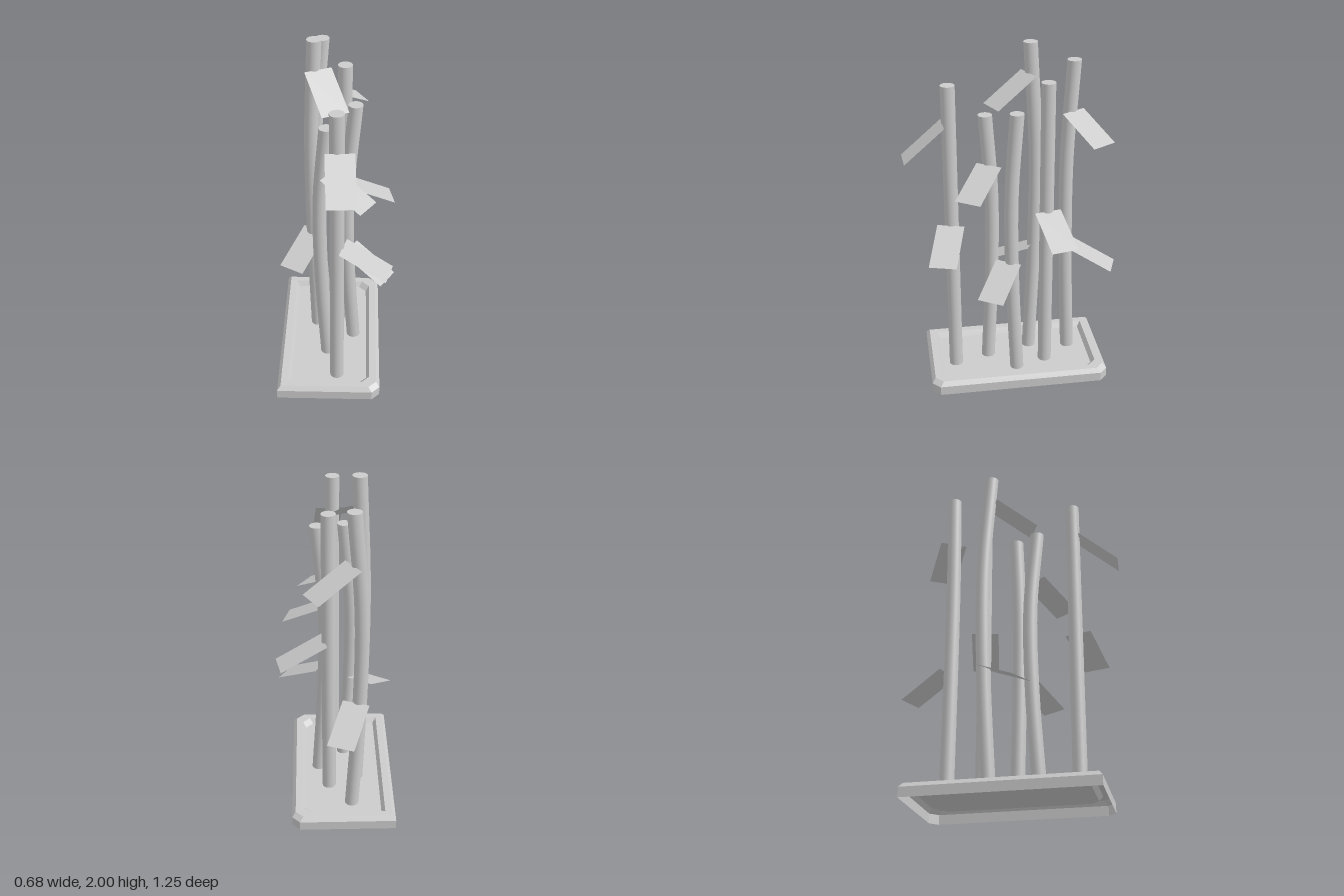
import * as THREE from 'three';

const matte = new THREE.MeshStandardMaterial({ color: 0xcccccc });
const faceted = new THREE.MeshStandardMaterial({ color: 0xcccccc, flatShading: true, side: THREE.DoubleSide });

function add(parent, name, geometry, material) {
  const mesh = new THREE.Mesh(geometry, material);
  mesh.name = name;
  parent.add(mesh);
  return mesh;
}

// Rectangle outline with the two +x corners cut off, inset by d
function trayRing(d, y) {
  const x0 = -0.34 + d, x1 = 0.26 - d, z0 = -0.53 + d, z1 = 0.52 - d, c = 0.045;
  return [[x0, z0], [x1 - c, z0], [x1, z0 + c], [x1, z1 - c], [x1 - c, z1], [x0, z1]]
    .map(([x, z]) => new THREE.Vector3(x, y, z));
}

// Open-bottomed tray: outer wall, bevel, rim, inner slope, sunken floor
function trayGeometry() {
  const rings = [[0, 0], [0, 0.055], [0.02, 0.08], [0.06, 0.08], [0.08, 0.05]].map(([d, y]) => trayRing(d, y));
  const pts = [];
  for (let r = 0; r < rings.length - 1; r++) {
    const a = rings[r], b = rings[r + 1];
    for (let i = 0; i < 6; i++) {
      const j = (i + 1) % 6;
      pts.push(a[i], b[j], a[j], a[i], b[i], b[j]);
    }
  }
  const floor = rings[rings.length - 1];
  for (let i = 1; i < 5; i++) pts.push(floor[0], floor[i + 1], floor[i]);
  const g = new THREE.BufferGeometry().setFromPoints(pts);
  g.computeVertexNormals();
  return g;
}

// Round stalk whose middle is pushed sideways by (dx, dz)
function stalkGeometry(x, z, top, dx, dz) {
  const base = 0.05;
  const curve = new THREE.CatmullRomCurve3([[0, 0], [0.36, 0.85], [0.68, 1], [1, 0]].map(([t, k]) =>
    new THREE.Vector3(x + dx * k, base + (top - base) * t, z + dz * k)));
  const g = new THREE.CylinderGeometry(0.04, 0.04, 1, 28, dx || dz ? 18 : 1);
  const pos = g.attributes.position;
  for (let i = 0; i < pos.count; i++) {
    const c = curve.getPoint(pos.getY(i) + 0.5);
    pos.setXYZ(i, c.x + pos.getX(i), c.y, c.z + pos.getZ(i));
  }
  return g;
}

// Flat rectangular leaf sloping from its attached edge a down to its tip edge b
function leafGeometry(a, b, width = 0.156) {
  const A = new THREE.Vector3(...a), B = new THREE.Vector3(...b);
  const side = new THREE.Vector3(A.z - B.z, 0, B.x - A.x).setLength(width / 2);
  const p = [A.clone().add(side), B.clone().add(side), B.clone().sub(side), A.clone().sub(side)];
  const g = new THREE.BufferGeometry().setFromPoints([p[0], p[1], p[2], p[0], p[2], p[3]]);
  g.computeVertexNormals();
  return g;
}

export function createModel() {
  const model = new THREE.Group();
  model.name = 'pottedStalks';

  add(model, 'tray', trayGeometry(), faceted);

  // Stalks: x, z, top height, sideways bend in x and z
  const stalks = new THREE.Group();
  stalks.name = 'stalks';
  [
    [-0.09, -0.345, 1.9, -0.045, 0.02],
    [-0.125, -0.107, 2.0, -0.025, -0.037],
    [0.04, -0.18, 1.82, 0, 0],
    [0.1, 0, 1.675, -0.042, 0.025],
    [-0.055, 0.155, 1.62, -0.04, -0.036],
    [0.007, 0.36, 1.82, 0, 0],
  ].forEach((s, i) => add(stalks, `stalk${i + 1}`, stalkGeometry(...s), matte));
  model.add(stalks);

  // Leaves: centre of the attached edge, centre of the tip edge
  const leaves = new THREE.Group();
  leaves.name = 'leaves';
  [
    [[-0.105, 1.83, -0.095], [-0.005, 1.68, 0.128]],
    [[-0.086, 1.603, -0.345], [0.136, 1.475, -0.477]],
    [[-0.108, 0.76, -0.351], [-0.015, 0.632, -0.596]],
    [[0.065, 1.065, -0.183], [0.321, 0.937, -0.237]],
    [[0.075, 0.76, 0.045], [0.295, 0.632, 0.18]],
    [[-0.045, 1.323, 0.137], [0.174, 1.197, 0.283]],
    [[0.04, 1.003, 0.368], [0.293, 0.875, 0.439]],
    [[0.023, 1.61, 0.395], [0.036, 1.42, 0.617]],
    [[-0.134, 0.76, -0.127], [-0.267, 0.632, 0.104]],
  ].forEach(([a, b], i) => add(leaves, `leaf${i + 1}`, leafGeometry(a, b), faceted));
  model.add(leaves);

  return model;
}
